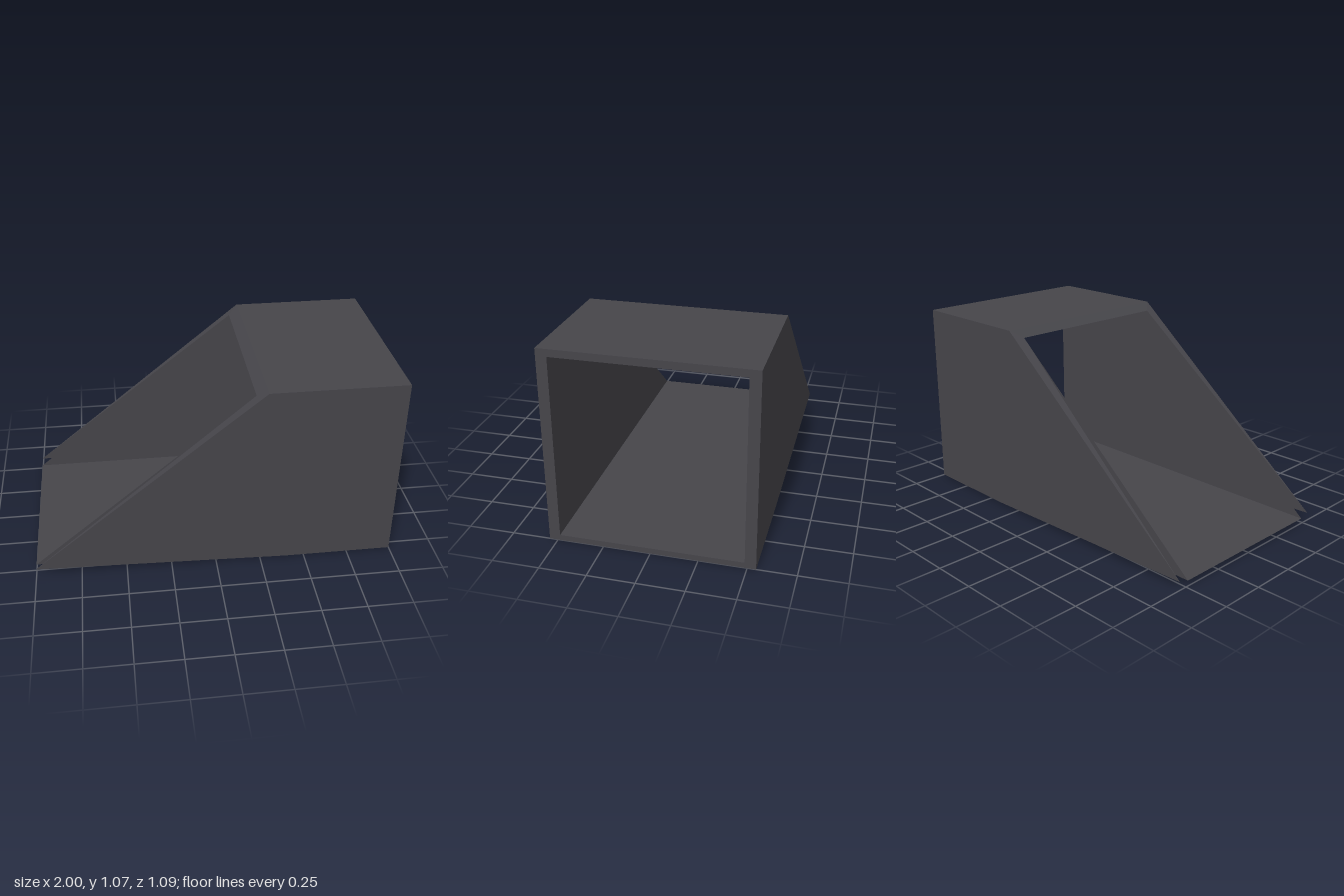
import * as THREE from 'three';

const charcoal = new THREE.MeshStandardMaterial({ color: 0x46454a, side: THREE.DoubleSide });
charcoal.name = 'charcoal';

// Flat convex panel from corner points, counter-clockwise seen from its front
function panel(name, corners) {
  const pos = [];
  for (let i = 1; i < corners.length - 1; i++) {
    pos.push(...corners[0], ...corners[i], ...corners[i + 1]);
  }
  const geometry = new THREE.BufferGeometry();
  geometry.setAttribute('position', new THREE.Float32BufferAttribute(pos, 3));
  geometry.computeVertexNormals();
  const mesh = new THREE.Mesh(geometry, charcoal);
  mesh.name = name;
  return mesh;
}

export function createModel() {
  const group = new THREE.Group();
  group.name = 'slopedDuct';

  const W = 0.545, w = 0.487;   // outer and inner half widths
  const H = 1.07, h = 1.03;     // outer top and inner ceiling heights
  const floorY = 0.03, tipY = 0.045;
  const X = 0.262, x = 0.208;   // where the slope meets the outer and inner top

  // Roof, ceiling and floor
  group.add(
    panel('roof', [[X, H, W], [1, H, W], [1, H, -W], [X, H, -W]]),
    panel('ceiling', [[x, h, -w], [1, h, -w], [1, h, w], [x, h, w]]),
    panel('floor', [[-1, floorY, w], [1, floorY, w], [1, floorY, -w], [-1, floorY, -w]]),
    panel('slopeTopRim', [[x, h, w], [X, H, W], [X, H, -W], [x, h, -w]]),
  );

  // Outer walls, inner walls and tapering slope rims, mirrored in z
  for (const s of [1, -1]) {
    const side = s > 0 ? 'front' : 'back';
    const add = (name, pts) => {
      const corners = pts.map(([a, b, c]) => [a, b, c * s]);
      group.add(panel(side + name, s > 0 ? corners : corners.reverse()));
    };
    add('OuterWall', [[1, 0, W], [1, H, W], [X, H, W], [-1, tipY, W], [0.4, 0, W]]);
    add('InnerWall', [[-1, floorY, w], [x, h, w], [1, h, w], [1, floorY, w]]);
    add('SlopeRim', [[-1, tipY, W], [X, H, W], [x, h, w]]);
  }

  // Square frame around the open end
  const frame = new THREE.Shape([[-W, 0], [W, 0], [W, H], [-W, H]].map((p) => new THREE.Vector2(...p)));
  frame.holes.push(new THREE.Path([[-w, floorY], [-w, h], [w, h], [w, floorY]].map((p) => new THREE.Vector2(...p))));
  const rim = new THREE.Mesh(new THREE.ShapeGeometry(frame), charcoal);
  rim.name = 'openingFrame';
  rim.rotation.y = Math.PI / 2;
  rim.position.x = 1;
  group.add(rim);

  return group;
}
